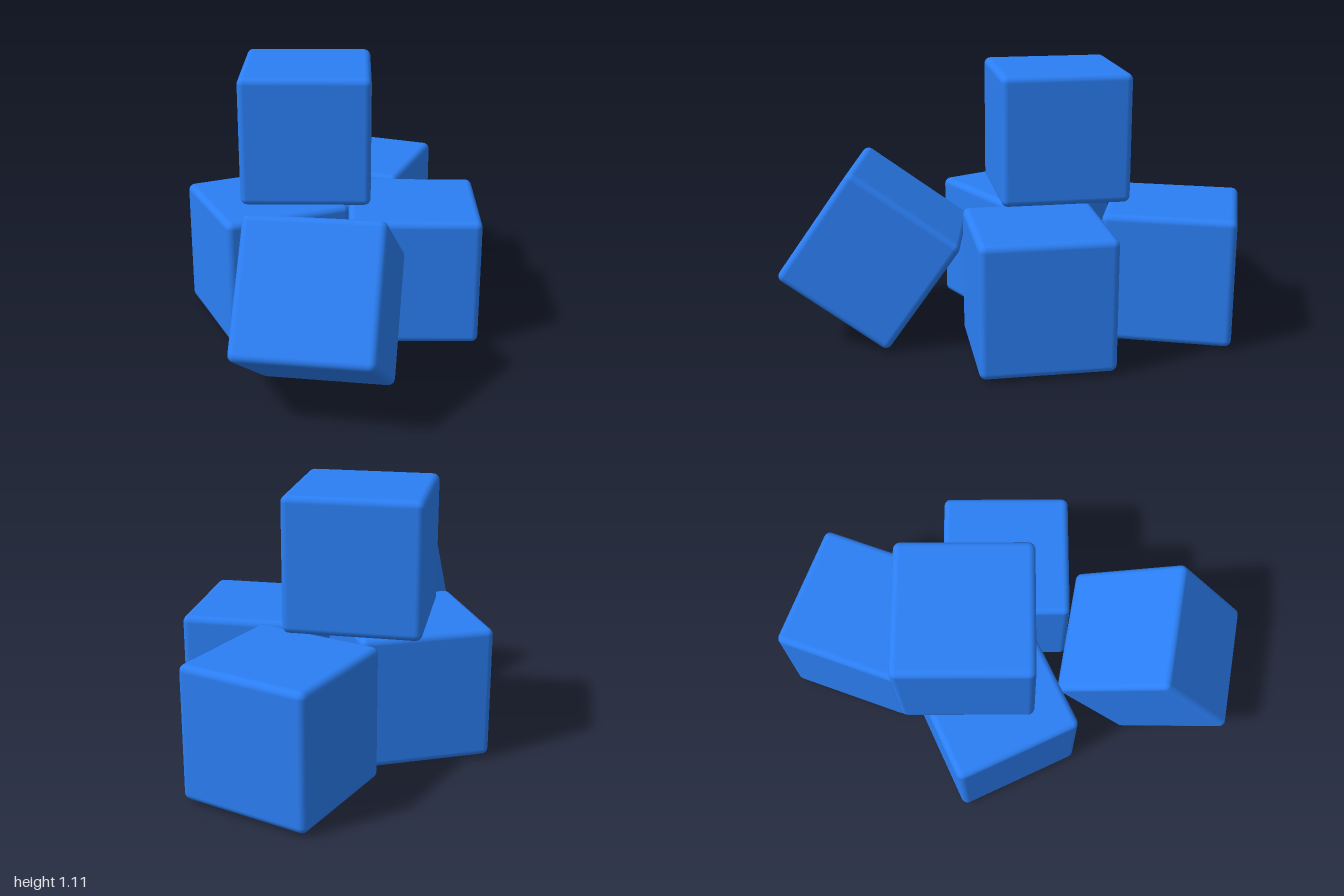
import * as THREE from 'three';
import { RoundedBoxGeometry } from 'three/addons/geometries/RoundedBoxGeometry.js';

const SIZE = 0.545;
const deg = THREE.MathUtils.degToRad;

// name, centre [x, y, z], turn [pitch, yaw, roll] in degrees
const CUBES = [
  ['leftCube', [0.31, 0.29, 0.015], [0, -10, 0]],
  ['rightCube', [-0.298, 0.29, -0.15], [0, 15, 0]],
  ['backCube', [0.195, 0.29, -0.638], [0, -30, 0]],
  ['topCube', [-0.11, 0.845, -0.217], [0, -10, 0]],
  ['leaningCube', [-0.168, 0.381, 0.567], [-35, -21.3, 1.9]],
];

export function createModel() {
  const group = new THREE.Group();
  group.name = 'cubePile';

  // One softly rounded cube shared by the whole pile
  const geometry = new RoundedBoxGeometry(SIZE, SIZE, SIZE, 3, 0.028);
  const material = new THREE.MeshStandardMaterial({ color: 0x2b7ff5 });

  for (const [name, centre, [pitch, yaw, roll]] of CUBES) {
    const cube = new THREE.Mesh(geometry, material);
    cube.name = name;
    cube.position.set(...centre);
    cube.rotation.set(deg(pitch), deg(yaw), deg(roll), 'YXZ');
    group.add(cube);
  }
  return group;
}
